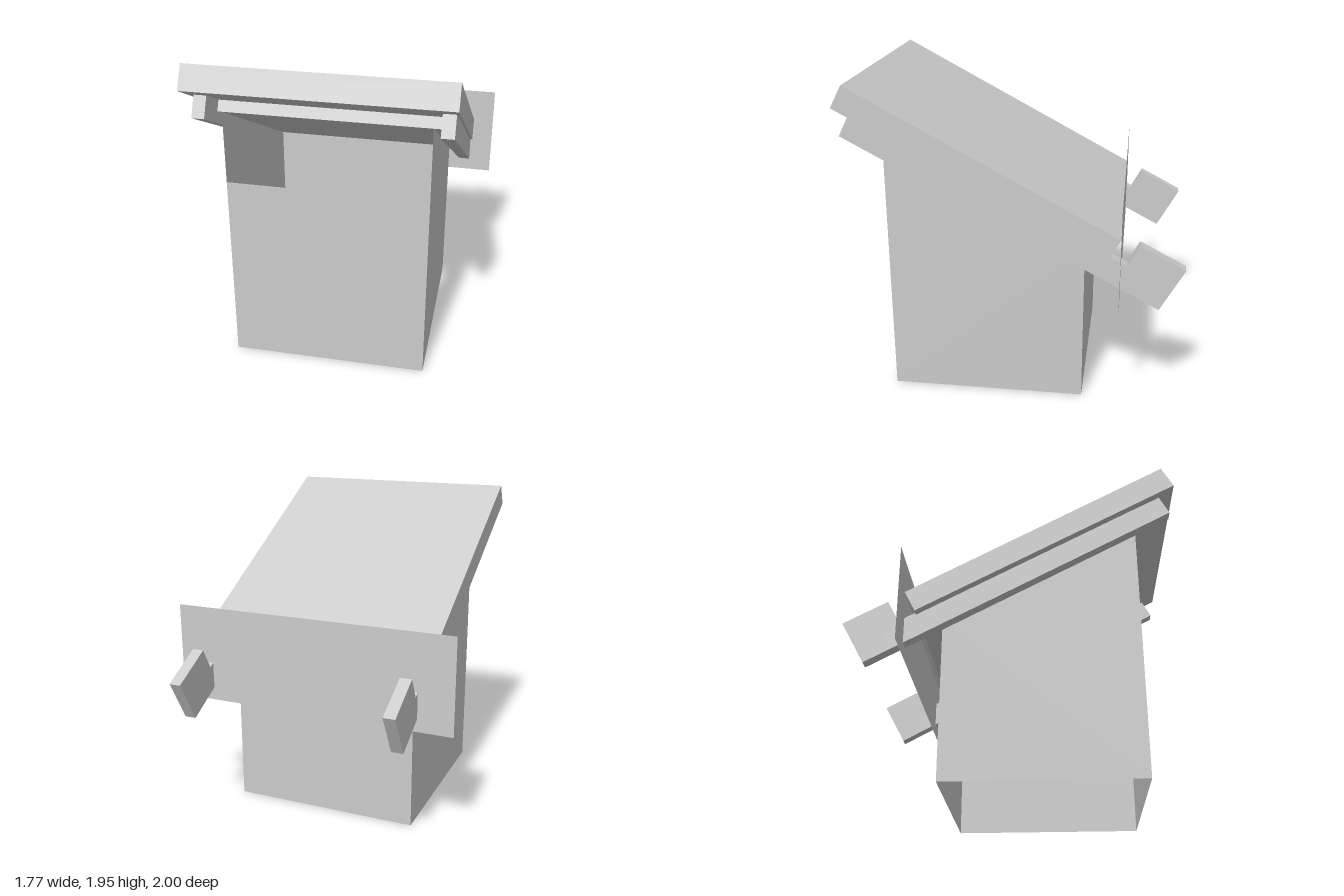
import * as THREE from 'three';

const grey = () => new THREE.MeshStandardMaterial({ color: 0xcccccc, flatShading: true, side: THREE.DoubleSide });

// Side profile of [z, y] points, given thickness from x0 to x1
function slab(name, points, x0, x1) {
  const shape = new THREE.Shape(points.map(([z, y]) => new THREE.Vector2(z, y)));
  const geo = new THREE.ExtrudeGeometry(shape, { depth: x1 - x0, bevelEnabled: false });
  geo.rotateY(-Math.PI / 2).translate(x1, 0, 0);
  return named(name, geo);
}

function named(name, geo) {
  const mesh = new THREE.Mesh(geo, grey());
  mesh.name = name;
  return mesh;
}

// Thin upright sheet facing z
function sheet(name, x0, x1, y0, y1, z) {
  const geo = new THREE.PlaneGeometry(x1 - x0, y1 - y0);
  geo.translate((x0 + x1) / 2, (y0 + y1) / 2, z);
  return named(name, geo);
}

export function createModel() {
  const model = new THREE.Group();
  model.name = 'slantedStand';

  // Sloping top board and the thinner panel beneath it
  model.add(slab('topBoard', [[1, 1.82], [0.93, 1.95], [-0.63, 1.117], [-0.565, 0.992]], -0.72, 0.755));
  model.add(slab('underPanel', [[0.767, 1.622], [0.735, 1.682], [-0.565, 0.992], [-0.533, 0.932]], -0.595, 0.667));

  // Two side rails ending in raised hooks behind the back plate
  const rail = [[0.968, 1.657], [0.91, 1.77], [-0.667, 0.954], [-0.737, 1.084], [-1, 0.945], [-0.86, 0.69]];
  for (const [name, x0] of [['rightRail', -0.667], ['leftRail', 0.667]]) {
    model.add(slab(name, rail, x0, x0 + 0.072));
  }

  // Upright back plate
  model.add(sheet('backPlate', -0.885, 0.885, 0.73, 1.325, -0.633));

  // Hollow base, open below and at the upper front
  const base = new THREE.Group();
  base.name = 'base';
  const x0 = -0.572, x1 = 0.61, front = 0.76, back = -0.42;
  base.add(sheet('frontWall', x0, x1, 0, 1.18, front));
  base.add(sheet('backWall', x0, x1, 0, 0.992, back));
  const side = [[front, 0], [front, 1.62], [back, 0.992], [back, 0]];
  for (const [name, x] of [['rightWall', x0], ['leftWall', x1]]) {
    const shape = new THREE.Shape(side.map(([z, y]) => new THREE.Vector2(z, y)));
    const geo = new THREE.ShapeGeometry(shape);
    geo.rotateY(-Math.PI / 2).translate(x, 0, 0);
    base.add(named(name, geo));
  }
  model.add(base);

  return model;
}
